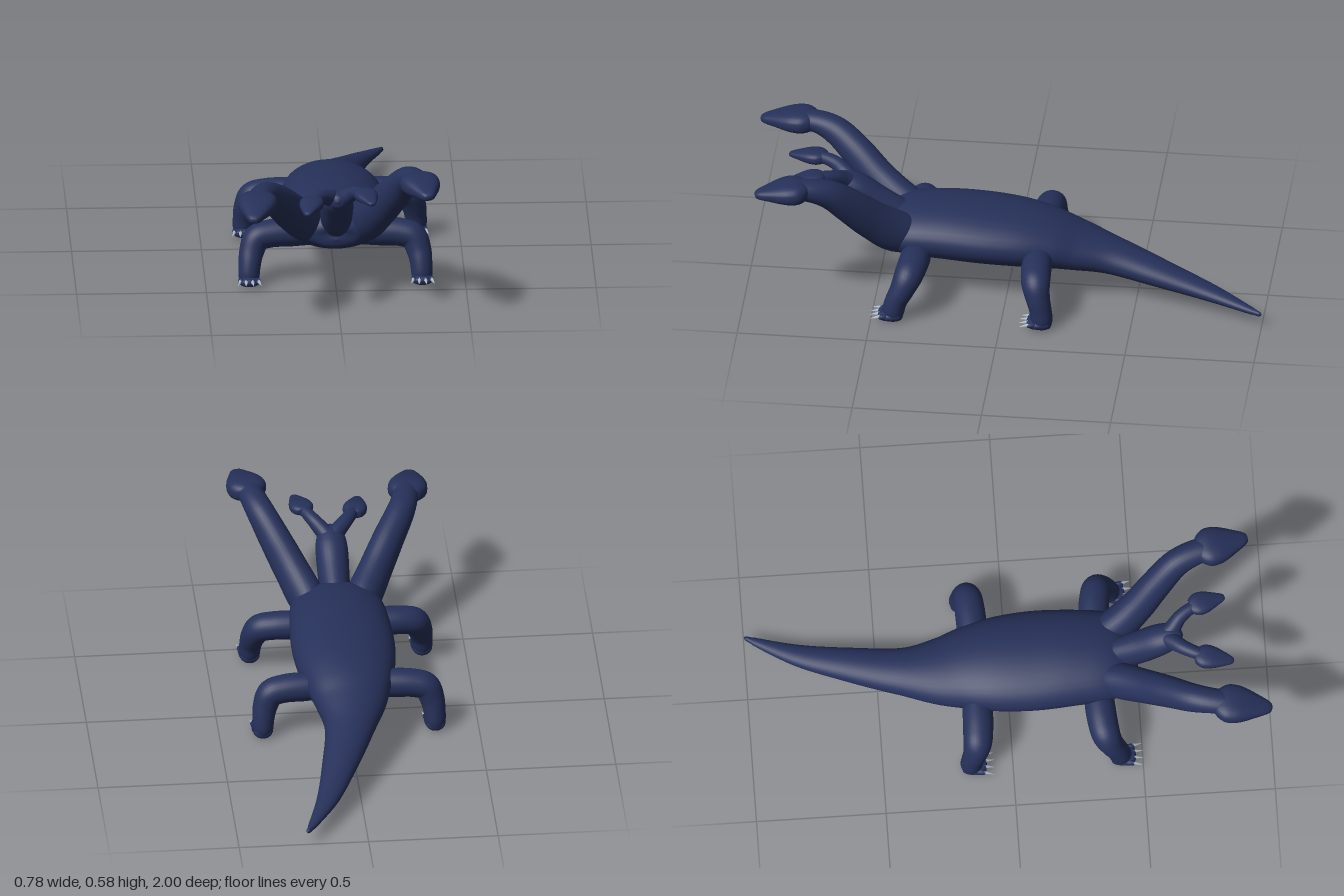
import * as THREE from 'three';

const skin = new THREE.MeshStandardMaterial({ color: 0x26315a });
skin.name = 'navy skin';
const horn = new THREE.MeshStandardMaterial({ color: 0xa9b6c4 });
horn.name = 'pale claw';

const Y = new THREE.Vector3(0, 1, 0), Z = new THREE.Vector3(0, 0, 1);

// Smooth skin over rows of [x, y, z, half width, half height]; power > 1 squares the section
function loft(name, rows, { up = Y, steps = 6, sides = 28, power = 1 } = {}) {
  const path = new THREE.CatmullRomCurve3(rows.map(r => new THREE.Vector3(r[0], r[1], r[2])));
  const size = new THREE.CatmullRomCurve3(rows.map(r => new THREE.Vector3(r[3], r[4], 0)), false, 'catmullrom', 0.5);
  const n = (rows.length - 1) * steps, pos = [], idx = [];
  for (let i = 0; i <= n; i++) {
    const p = path.getPoint(i / n), s = size.getPoint(i / n);
    const t = path.getTangent(i / n);
    const a = new THREE.Vector3().crossVectors(up, t).normalize();
    const b = new THREE.Vector3().crossVectors(t, a);
    for (let j = 0; j < sides; j++) {
      const f = j / sides * Math.PI * 2, c = Math.cos(f), d = Math.sin(f);
      const u = Math.sign(c) * Math.abs(c) ** (1 / power) * Math.max(s.x, 0.0003);
      const v = Math.sign(d) * Math.abs(d) ** (1 / power) * Math.max(s.y, 0.0003);
      pos.push(p.x + a.x * u + b.x * v, p.y + a.y * u + b.y * v, p.z + a.z * u + b.z * v);
    }
  }
  for (let i = 0; i < n; i++) for (let j = 0; j < sides; j++) {
    const k = (j + 1) % sides, q = i * sides, r = q + sides;
    idx.push(q + j, q + k, r + j, q + k, r + k, r + j);
  }
  const g = new THREE.BufferGeometry();
  g.setAttribute('position', new THREE.Float32BufferAttribute(pos, 3));
  g.setIndex(idx);
  g.computeVertexNormals();
  const m = new THREE.Mesh(g, skin);
  m.name = name;
  return m;
}

// Wedge-shaped head: back of skull at (x, y, z), snout swings sideways by dx and drops by dy
function head(name, x, y, z, len, wide, tall, dx, dy) {
  const profile = [[0, 0, 0], [0.04, 0.6, 0.7], [0.2, 0.97, 1], [0.38, 1, 1], [0.55, 0.86, 0.85],
    [0.75, 0.6, 0.62], [0.92, 0.36, 0.42], [0.985, 0.2, 0.25], [1, 0, 0]];
  return loft(name, profile.map(([t, w, h]) =>
    [x + dx * t, y + dy * t * t, z + len * t, wide * w, tall * h]), { power: 1.3 });
}

// Sprawling leg with a clawed foot; s is the side, k the z of the hip, lean the z shift of the ankle
function leg(name, s, hip, lean) {
  const g = new THREE.Group();
  g.name = name;
  const ankle = hip + lean;
  const limb = [[0.08, 0.19, hip, 0.05, 0.05], [0.17, 0.19, hip, 0.056, 0.058],
    [0.25, 0.187, hip + lean * 0.1, 0.054, 0.058], [0.3, 0.172, hip + lean * 0.25, 0.053, 0.055],
    [0.322, 0.125, hip + lean * 0.55, 0.048, 0.047], [0.33, 0.08, hip + lean * 0.85, 0.043, 0.043],
    [0.333, 0.035, ankle, 0.04, 0.042], [0.333, 0.006, ankle, 0.028, 0.03], [0.333, 0.002, ankle, 0, 0]];
  g.add(loft('limb', limb.map(r => [r[0] * s, r[1], r[2], r[4], r[3]].map((v, i) => i === 3 ? r[3] : i === 4 ? r[4] : v)),
    { up: Z }));
  const fx = 0.333 * s;
  g.add(loft('foot', [[fx, 0.03, ankle - 0.04, 0, 0], [fx, 0.028, ankle - 0.03, 0.03, 0.022],
    [fx, 0.025, ankle, 0.04, 0.024], [fx, 0.024, ankle + 0.035, 0.041, 0.02],
    [fx, 0.025, ankle + 0.055, 0.028, 0.013], [fx, 0.025, ankle + 0.06, 0, 0]]));
  // Toes and claws fan out from the foot
  for (let i = 0; i < 4; i++) {
    const o = (i - 1.5) / 1.5, x = fx + o * 0.031, z = ankle + 0.045 - Math.abs(o) * 0.006;
    g.add(loft('toe', [[x, 0.026, z - 0.025, 0, 0], [x, 0.027, z - 0.015, 0.01, 0.011],
      [x + o * 0.004, 0.029, z + 0.01, 0.01, 0.01], [x + o * 0.006, 0.027, z + 0.022, 0, 0]], { sides: 10, steps: 4 }));
    const claw = new THREE.Mesh(new THREE.ConeGeometry(0.0085, 0.04, 10), horn);
    claw.name = 'claw';
    claw.position.set(x + o * 0.009, 0.028, z + 0.027);
    claw.rotation.set(Math.PI / 2 + 0.15, 0, -o * 0.25);
    g.add(claw);
  }
  return g;
}

export function createModel() {
  const model = new THREE.Group();
  model.name = 'fourHeadedLizard';

  // Trunk running into the curved tail
  model.add(loft('bodyAndTail', [
    [0, 0.21, 0.505, 0, 0], [0, 0.21, 0.495, 0.08, 0.04], [0, 0.222, 0.46, 0.145, 0.072],
    [0, 0.238, 0.39, 0.178, 0.098], [0, 0.242, 0.25, 0.193, 0.108], [0, 0.235, 0.1, 0.2, 0.11],
    [0, 0.224, -0.04, 0.19, 0.107], [0, 0.208, -0.15, 0.168, 0.098], [0.002, 0.182, -0.26, 0.137, 0.083],
    [0.02, 0.154, -0.4, 0.096, 0.064], [0.075, 0.115, -0.6, 0.069, 0.046], [0.14, 0.08, -0.8, 0.043, 0.028],
    [0.215, 0.058, -0.96, 0.016, 0.013], [0.232, 0.055, -0.992, 0.008, 0.009], [0.238, 0.055, -1, 0, 0]],
  { sides: 36 }));

  // Two large outer necks with heads
  model.add(loft('leftNeck', [
    [0.08, 0.235, 0.33, 0.05, 0.06], [0.11, 0.26, 0.42, 0.068, 0.082], [0.16, 0.335, 0.51, 0.064, 0.076],
    [0.215, 0.425, 0.59, 0.059, 0.068], [0.265, 0.505, 0.67, 0.054, 0.056], [0.292, 0.535, 0.745, 0.05, 0.044],
    [0.306, 0.54, 0.81, 0.045, 0.036], [0.31, 0.54, 0.83, 0, 0]]));
  model.add(head('leftHead', 0.296, 0.542, 0.745, 0.205, 0.075, 0.041, 0.044, -0.012));
  model.add(loft('rightNeck', [
    [-0.08, 0.235, 0.33, 0.05, 0.06], [-0.11, 0.26, 0.42, 0.068, 0.08], [-0.165, 0.325, 0.52, 0.064, 0.074],
    [-0.222, 0.402, 0.61, 0.06, 0.066], [-0.275, 0.462, 0.7, 0.055, 0.055], [-0.3, 0.484, 0.775, 0.05, 0.042],
    [-0.31, 0.484, 0.85, 0.045, 0.034], [-0.31, 0.484, 0.87, 0, 0]]));
  model.add(head('rightHead', -0.307, 0.484, 0.775, 0.225, 0.075, 0.041, -0.03, -0.022));

  // Central neck that forks into two small heads
  model.add(loft('middleNeck', [
    [0, 0.23, 0.34, 0.05, 0.05], [0, 0.265, 0.43, 0.058, 0.072], [0, 0.325, 0.52, 0.062, 0.068],
    [0, 0.385, 0.59, 0.062, 0.056], [0, 0.415, 0.64, 0.05, 0.042], [0, 0.423, 0.67, 0.025, 0.022], [0, 0.424, 0.678, 0, 0]]));
  model.add(loft('leftFork', [
    [-0.01, 0.4, 0.58, 0.03, 0.03], [0.025, 0.427, 0.635, 0.032, 0.033], [0.06, 0.458, 0.67, 0.027, 0.027],
    [0.088, 0.474, 0.715, 0.024, 0.022], [0.1, 0.477, 0.75, 0.02, 0.018], [0.102, 0.477, 0.76, 0, 0]]));
  model.add(head('leftSmallHead', 0.092, 0.478, 0.705, 0.142, 0.045, 0.022, 0.035, -0.008));
  model.add(loft('rightFork', [
    [0.01, 0.4, 0.58, 0.03, 0.03], [-0.025, 0.427, 0.635, 0.032, 0.033], [-0.06, 0.446, 0.675, 0.028, 0.027],
    [-0.088, 0.452, 0.725, 0.025, 0.023], [-0.1, 0.449, 0.76, 0.02, 0.018], [-0.102, 0.449, 0.77, 0, 0]]));
  model.add(head('rightSmallHead', -0.096, 0.45, 0.715, 0.152, 0.046, 0.025, -0.03, -0.012));

  // Four legs
  for (const [side, s] of [['left', 1], ['right', -1]]) {
    model.add(leg(side + 'FrontLeg', s, 0.345, 0.07));
    model.add(leg(side + 'RearLeg', s, -0.125, -0.035));
  }
  return model;
}
